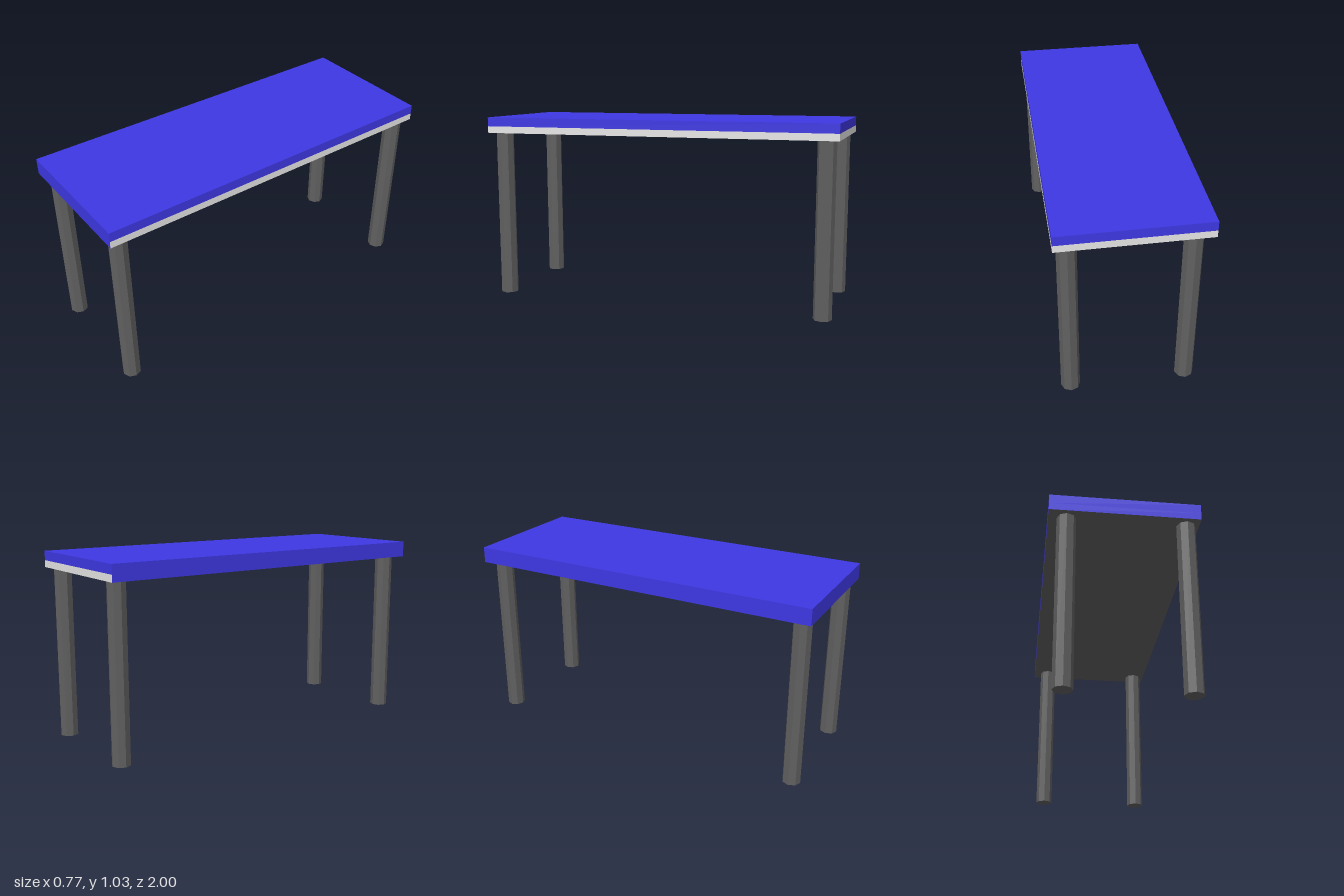
import * as THREE from 'three';

export function createModel() {
  const model = new THREE.Group();
  model.name = 'table';

  const mat = (name, color, flatShading = false) => {
    const m = new THREE.MeshStandardMaterial({ color, flatShading });
    m.name = name;
    return m;
  };
  const blue = mat('blue', 0x3f38e4);
  const lightGrey = mat('lightGrey', 0xe8e8e8);
  const darkGrey = mat('darkGrey', 0x606060, true);

  const add = (name, geometry, material, x, y, z) => {
    const mesh = new THREE.Mesh(geometry, material);
    mesh.name = name;
    mesh.position.set(x, y, z);
    model.add(mesh);
  };

  const width = 0.774, length = 2, legHeight = 0.946, split = 0.984, top = 1.035;

  // Blue table top
  add('tableTop', new THREE.BoxGeometry(width, top - split, length), blue,
    0, (top + split) / 2, 0);

  // Lower layer: edge band blue on two sides, light on the others, dark underside
  add('lowerBoard', new THREE.BoxGeometry(width, split - legHeight, length),
    [lightGrey, blue, blue, darkGrey, blue, lightGrey],
    0, (split + legHeight) / 2, 0);

  // Four eight-sided legs
  const legGeometry = new THREE.CylinderGeometry(0.05, 0.05, legHeight, 8);
  const legs = {
    frontLeftLeg: [0.32, 0.928],
    frontRightLeg: [-0.294, 0.928],
    backLeftLeg: [0.316, -0.93],
    backRightLeg: [-0.294, -0.93],
  };
  for (const [name, [x, z]] of Object.entries(legs)) {
    add(name, legGeometry, darkGrey, x, legHeight / 2, z);
  }

  return model;
}
